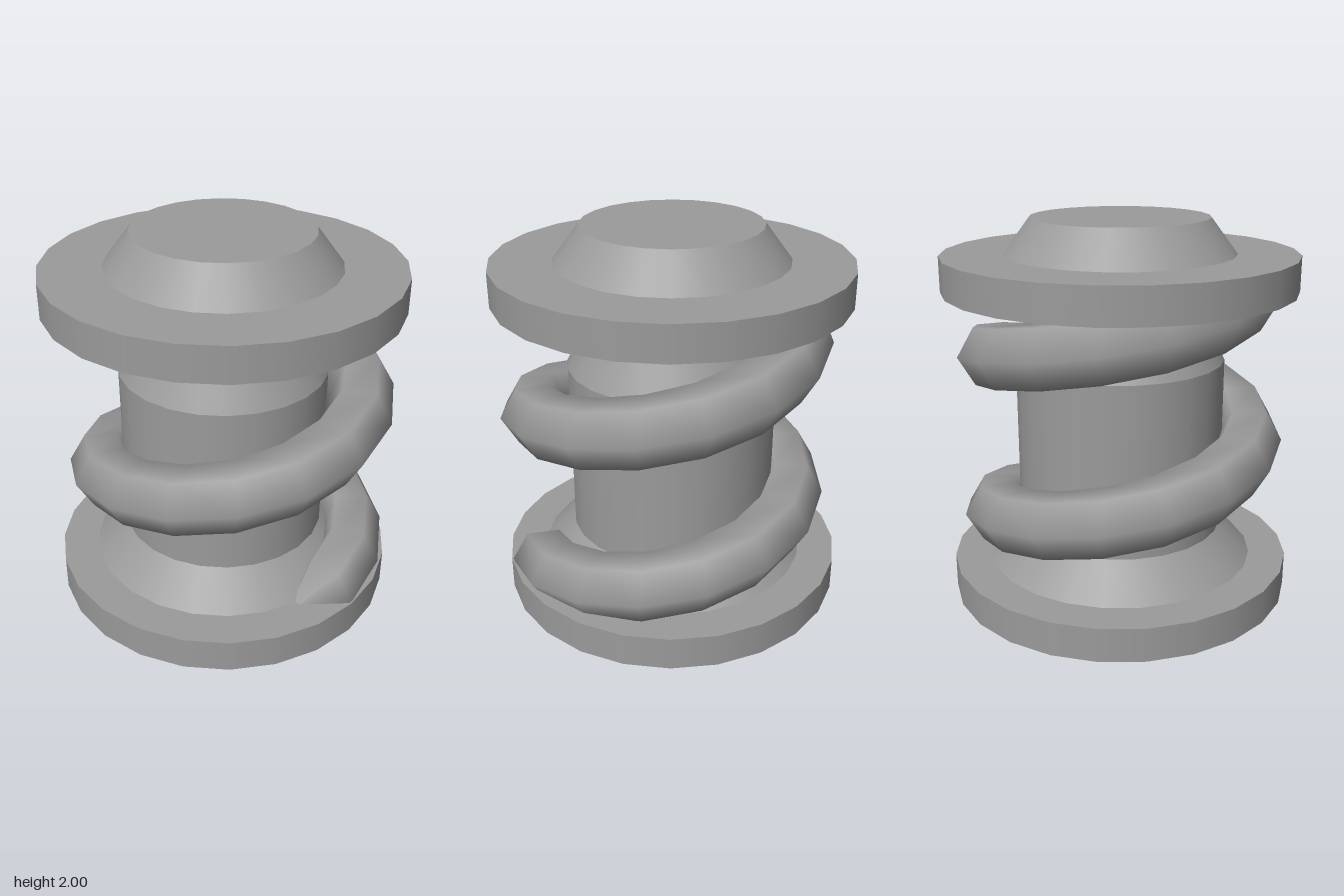
import * as THREE from 'three';
import { mergeGeometries } from 'three/addons/utils/BufferGeometryUtils.js';

const material = new THREE.MeshStandardMaterial({ color: 0x9b9b9b });

// Turned part: one lathe strip per profile segment keeps the rims sharp
function turned(name, profile) {
  const strips = [];
  for (let i = 0; i < profile.length - 1; i++) {
    const pair = [profile[i], profile[i + 1]].map(([r, y]) => new THREE.Vector2(r, y));
    const strip = new THREE.LatheGeometry(pair, 24);
    strip.normalizeNormals();
    strips.push(strip);
  }
  const mesh = new THREE.Mesh(mergeGeometries(strips), material);
  mesh.name = name;
  return mesh;
}

// Hexagonal tube screwed around the shaft, closing to a point at both ends
function spiralThread() {
  const sides = 6, perTurn = 16, first = -1, last = 28;
  const radius = 0.63, tube = 0.16, pitch = 0.795, startY = 0.33, offsetX = 0.04;
  const positions = [], indices = [];
  for (let i = first; i <= last; i++) {
    const angle = (i / perTurn) * Math.PI * 2;
    const size = i === first || i === last ? 0.001 : tube;
    for (let j = 0; j < sides; j++) {
      const a = (j / sides) * Math.PI * 2;
      const r = radius + size * Math.cos(a);
      positions.push(
        offsetX + r * Math.cos(angle),
        startY + (pitch * i) / perTurn + size * Math.sin(a),
        -r * Math.sin(angle)
      );
    }
  }
  for (let i = 0; i < last - first; i++) {
    for (let j = 0; j < sides; j++) {
      const k = (j + 1) % sides;
      const a = i * sides + j, b = i * sides + k;
      const c = a + sides, d = b + sides;
      indices.push(a, c, b, b, c, d);
    }
  }
  const geometry = new THREE.BufferGeometry();
  geometry.setAttribute('position', new THREE.Float32BufferAttribute(positions, 3));
  geometry.setIndex(indices);
  geometry.computeVertexNormals();
  const mesh = new THREE.Mesh(geometry, material);
  mesh.name = 'spiralThread';
  return mesh;
}

export function createModel() {
  const model = new THREE.Group();
  model.name = 'wormScrew';
  model.add(
    // Chamfered foot and lower flange
    turned('lowerFlange', [[0, 0], [0.42, 0], [0.545, 0.17], [0.835, 0.17], [0.835, 0.335], [0.655, 0.335]]),
    // Shaft with a flared base and a waisted neck
    turned('shaft', [[0.655, 0.335], [0.5, 0.5], [0.5, 1.335], [0.42, 1.5], [0.545, 1.67]]),
    // Upper flange and chamfered cap
    turned('upperFlange', [[0.545, 1.67], [0.835, 1.67], [0.835, 1.835], [0.545, 1.835], [0.42, 2], [0, 2]]),
    spiralThread()
  );
  return model;
}
